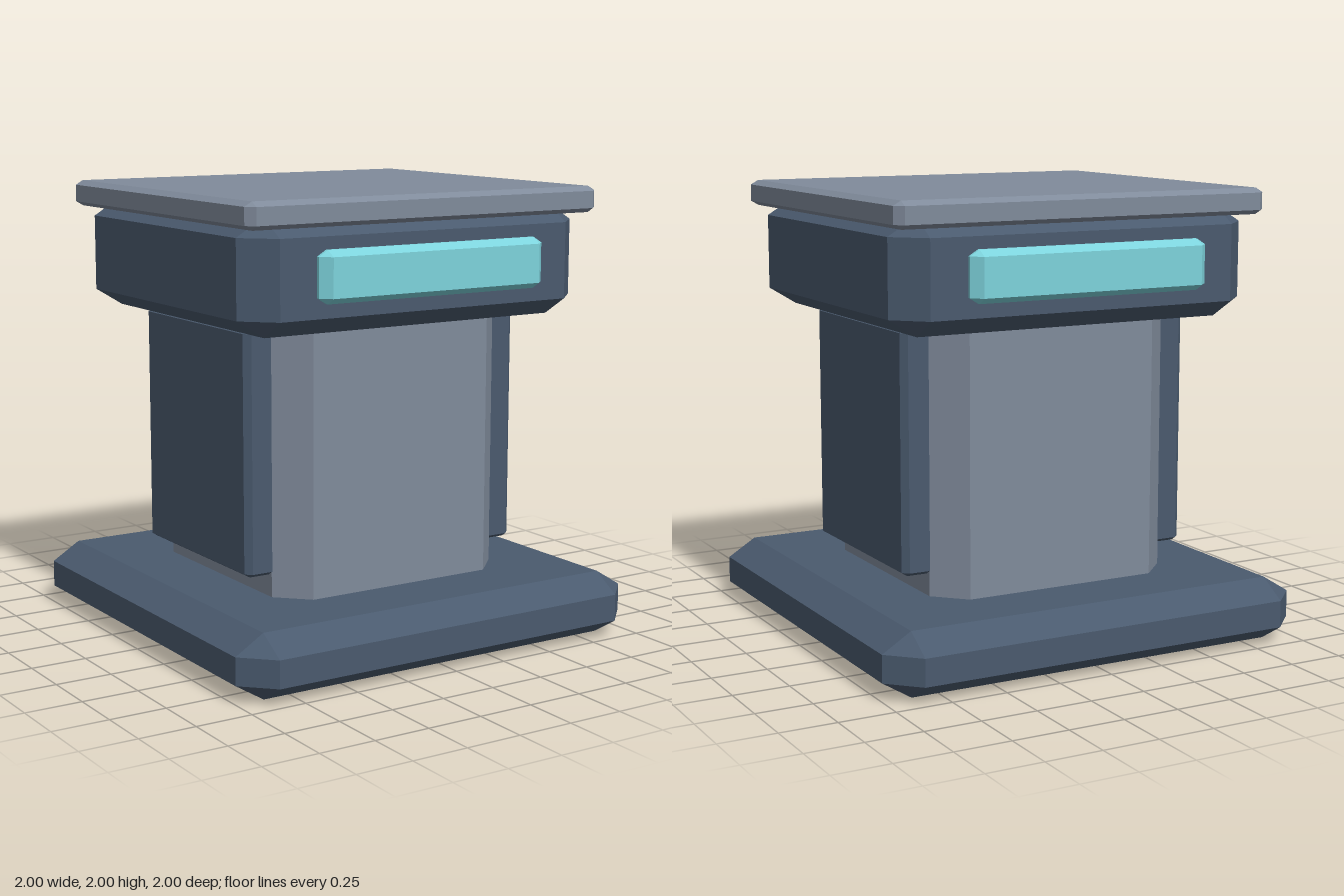
import * as THREE from 'three';
import { ConvexGeometry } from 'three/addons/geometries/ConvexGeometry.js';

function material(name, color) {
  const m = new THREE.MeshStandardMaterial({ color });
  m.name = name;
  return m;
}

// Box with every edge chamfered by h sideways and v vertically, centred on its own origin
function chamferedBox(w, height, d, h, v) {
  const x = w / 2, y = height / 2, z = d / 2, points = [];
  for (const sx of [-1, 1]) for (const sy of [-1, 1]) for (const sz of [-1, 1]) {
    points.push(
      new THREE.Vector3(sx * x, sy * (y - v), sz * (z - h)),
      new THREE.Vector3(sx * (x - h), sy * y, sz * (z - h)),
      new THREE.Vector3(sx * (x - h), sy * (y - v), sz * z)
    );
  }
  return new ConvexGeometry(points);
}

export function createModel() {
  const model = new THREE.Group();
  model.name = 'pedestal';
  const slate = material('dark slate', 0x4a5a6e);
  const grey = material('light grey', 0x808b9b);
  const cyan = material('pale cyan', 0x7dd3dc);

  function add(name, geometry, mat, x, y, z) {
    const mesh = new THREE.Mesh(geometry, mat);
    mesh.name = name;
    mesh.position.set(x, y, z);
    model.add(mesh);
  }

  // Foot, head and cap
  add('base', chamferedBox(2, 0.28, 2, 0.13, 0.08), slate, 0, 0.14, 0);
  add('head', chamferedBox(1.706, 0.49, 1.546, 0.128, 0.078), slate, 0, 1.68, 0);
  add('cap', chamferedBox(1.77, 0.115, 1.61, 0.035, 0.02), grey, 0, 1.9425, 0);

  // Column with cut corners
  const a = 0.58, b = 0.45;
  const outline = [[a, -b], [a, b], [b, a], [-b, a], [-a, b], [-a, -b], [-b, -a], [b, -a]];
  const shape = new THREE.Shape(outline.map(([x, y]) => new THREE.Vector2(x, y)));
  const column = new THREE.ExtrudeGeometry(shape, { depth: 1.24, bevelEnabled: false });
  column.rotateX(-Math.PI / 2);
  add('column', column, grey, 0, 0.24, 0);

  // Side panels, and lights on the front and back of the head
  for (const s of [1, -1]) {
    add(s > 0 ? 'leftPanel' : 'rightPanel',
      chamferedBox(0.24, 1.065, 0.904, 0.027, 0.017), slate, s * 0.58, 0.9075, 0);
    add(s > 0 ? 'frontLight' : 'backLight',
      chamferedBox(1.13, 0.22, 0.1, 0.043, 0.026), cyan, 0, 1.686, s * 0.8);
  }
  return model;
}
